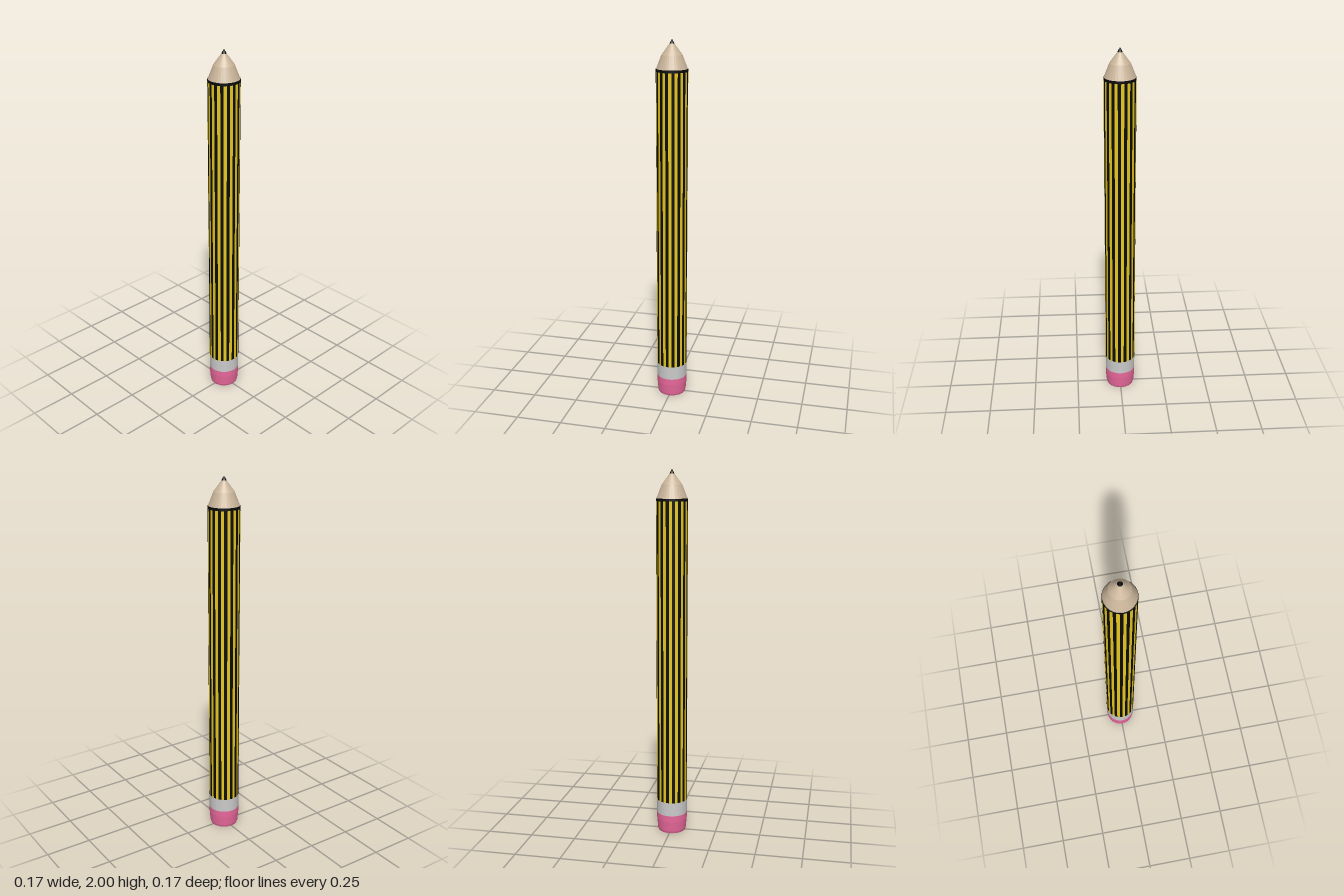
import * as THREE from 'three';

const SIDES = 32;
const R = 0.084;

function material(name, color) {
  const m = new THREE.MeshStandardMaterial({ color });
  m.name = name;
  m.flatShading = true;
  return m;
}

// A faceted turned part from [radius, height] pairs, listed bottom to top
function turned(name, points, mat) {
  const profile = points.map(([r, y]) => new THREE.Vector2(r, y));
  const mesh = new THREE.Mesh(new THREE.LatheGeometry(profile, SIDES), mat);
  mesh.name = name;
  return mesh;
}

export function createModel() {
  const yellow = material('yellow paint', 0xe6c81e);
  const black = material('black', 0x0a0a0a);
  const wood = material('bare wood', 0xcbb69b);
  const metal = material('pale metal', 0xcacaca);
  const pink = material('pink rubber', 0xe8689a);

  const pencil = new THREE.Group();
  pencil.name = 'pencil';

  // Eraser with a softened lower rim, and the metal sleeve above it
  pencil.add(turned('eraser', [[0, 0], [0.075, 0], [0.079, 0.012], [R, 0.07], [R, 0.105]], pink));
  pencil.add(turned('ferrule', [[R, 0.105], [R, 0.182]], metal));

  // Barrel: one stripe per facet, alternating yellow and black
  const barrelGeometry = new THREE.CylinderGeometry(R, R, 1.653, SIDES, 1, true);
  barrelGeometry.clearGroups();
  for (let i = 0; i < SIDES; i++) barrelGeometry.addGroup(i * 6, 6, i % 2);
  const barrel = new THREE.Mesh(barrelGeometry, [yellow, black]);
  barrel.name = 'stripedBarrel';
  barrel.position.y = 0.182 + 1.653 / 2;
  pencil.add(barrel);

  // Black ring, sharpened wood and lead point
  pencil.add(turned('collar', [[R, 1.835], [R, 1.848], [0.082, 1.849]], black));
  pencil.add(turned('sharpenedWood', [[0.082, 1.849], [0.054, 1.92], [0.013, 1.976]], wood));
  pencil.add(turned('leadPoint', [[0.013, 1.976], [0, 2]], black));

  return pencil;
}
